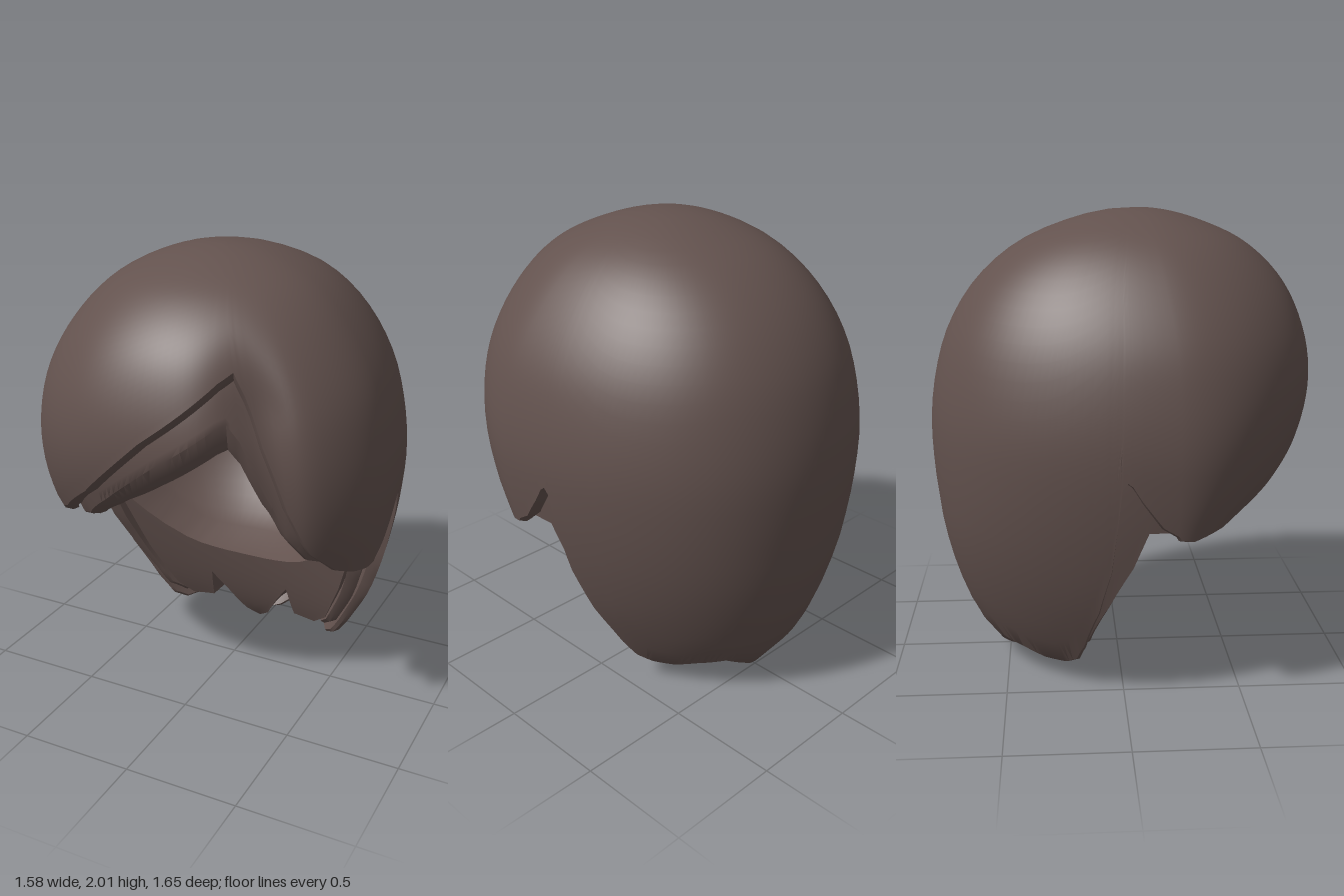
import * as THREE from 'three';
import { toCreasedNormals } from 'three/addons/utils/BufferGeometryUtils.js';

const { smoothstep } = THREE.MathUtils;

// Head-shaped profile: height, half width, front z, back z, z of the widest line
const PROFILE = [
  [2, 0, .08, .08, .08], [1.95, .275, .35, -.21, .1], [1.86, .445, .545, -.42, .13],
  [1.7, .6, .71, -.61, .16], [1.5, .715, .798, -.735, .19], [1.3, .77, .825, -.795, .2],
  [1.1, .79, .79, -.82, .2], [.9, .775, .7, -.815, .2], [.75, .75, .57, -.8, .2],
  [.6, .717, .46, -.78, .2], [.4, .658, .38, -.73, .2], [.2, .57, .32, -.65, .2],
  [.1, .52, .29, -.575, .2], [0, .43, .27, -.5, .2],
];
const depth = PROFILE.map(r => Math.sqrt(2 - r[0]));

// Smooth (Hermite) lookup of one profile column at height y
function profile(y, c) {
  const s = Math.sqrt(Math.max(0, 2 - y)), n = PROFILE.length;
  let i = 0;
  while (i < n - 2 && s > depth[i + 1]) i++;
  const slope = k => {
    const a = Math.max(0, k - 1), b = Math.min(n - 1, k + 1);
    return (PROFILE[b][c] - PROFILE[a][c]) / (depth[b] - depth[a]);
  };
  const h = depth[i + 1] - depth[i], t = Math.min(1, (s - depth[i]) / h), u = 1 - t;
  return PROFILE[i][c] * (1 + 2 * t) * u * u + PROFILE[i + 1][c] * t * t * (3 - 2 * t)
    + h * (slope(i) * t * u * u - slope(i + 1) * t * t * u);
}

// Point on the head at azimuth a (0 = front) and height y, shrunk by k
function point(a, y, k) {
  const zc = profile(y, 4), c = Math.cos(a), s = Math.sin(a);
  const bump = (centre, width) => Math.exp(-(((a - centre) / width) ** 2));
  let r = c > 0 ? profile(y, 2) - zc : zc - profile(y, 3);
  // flatter beside the parting, fuller in the fringe and at the back corners
  if (c > 0) r *= 1 + (.025 * bump(-.5, .35) - .17 * bump(.62, .2)) * smoothstep(2 - y, .15, .55);
  const full = c < 0 ? 1 + .1 * (s * c) ** 2 * smoothstep(y, .2, .8) : 1;
  return [k * full * profile(y, 1) * s, y > 1 ? 1 + (y - 1) * k : y, k * (zc + full * r * c)];
}

// Skin a list of equal-length columns of points
function skin(columns) {
  const rows = columns[0].length, index = [];
  for (let i = 0; i < columns.length - 1; i++) {
    for (let j = 0; j < rows - 1; j++) {
      const p = i * rows + j, q = p + rows;
      index.push(p, p + 1, q, q, p + 1, q + 1);
    }
  }
  const g = new THREE.BufferGeometry();
  g.setAttribute('position', new THREE.Float32BufferAttribute(columns.flat(2), 3));
  g.setIndex(index);
  return toCreasedNormals(g, 0.7);
}

// Subdivide a list of control points, stepping by their first value
function subdivide(list) {
  const out = [];
  for (let i = 0; i < list.length - 1; i++) {
    const p = list[i], q = list[i + 1];
    const n = Math.max(3, Math.ceil(Math.abs(q[0] - p[0]) / 0.05));
    for (let j = 0; j < n; j++) out.push(p.map((v, m) => v + (q[m] - v) * j / n));
  }
  out.push(list[list.length - 1]);
  return out;
}

// Hem all the way round: mirrored sides and back with a lopsided fringe between
const fullHem = (fringe, side) => [
  ...side.map(([a, y]) => [-a, y]).reverse(), ...fringe, ...side,
];

// Thick cap from the crown down to its hem: outside, rim, inside (lower at the fringe by drop)
function cap(hem, kOut, kIn, drop) {
  const N = 28;
  return skin(subdivide(hem).map(([a, y]) => {
    const col = [], d = drop * smoothstep(y, .75, 1.3);
    for (let j = 0; j <= N; j++) col.push(point(a, 2 - (2 - y) * (j / N) ** 1.6, kOut));
    col.push(point(a, y - d / 2 - .012, (kOut + kIn) / 2));
    for (let j = N; j >= 0; j--) col.push(point(a, 2 - (2 - y + d) * (j / N) ** 1.6, kIn));
    return col;
  }));
}

// Deep nape lock: round bowl for the head, ledge, front face with notched hem, underside
function nape() {
  // hem x, hem y, ledge x, ledge y, height where the underside meets the back
  const half = [[.6, .73, .6, .765, .73], [.5, .42, .56, .71, .42], [.4, .19, .48, .63, .19],
    [.33, .13, .4, .565, .12], [.22, .14, .3, .505, .13], [.2, .3, .23, .48, .16],
    [.13, .2, .16, .468, .15], [.06, .08, .1, .462, .14], [0, .035, 0, .46, .13]];
  const all = [...half.map(([x, y, tx, ty, b]) => [-x, y, -tx, ty, b]),
    ...half.slice(0, -1).reverse()];
  const onWall = (x, y, k) =>
    point(Math.PI - Math.asin(THREE.MathUtils.clamp(x / (k * profile(y, 1)), -1, 1)), y, k);
  const onFace = (x, y) => [x, y, -.36 + .36 * Math.sqrt(y) + .25 * x * x];
  const R = .67, CY = 1.1;
  return skin(subdivide(all).map(([x, y, tx, ty, b]) => {
    const col = [], rim = ty + .045;
    const ring = h => Math.sqrt(R * R - (h - CY) ** 2);
    const turn = Math.asin(THREE.MathUtils.clamp(tx / ring(rim), -1, 1));
    for (let j = 0; j <= 12; j++) {
      const h = 1.15 + (rim - 1.15) * j / 12;
      col.push([ring(h) * Math.sin(turn), h, -ring(h) * Math.cos(turn)]);
    }
    for (let j = 0; j <= 10; j++) {
      const t = j / 10;
      col.push(onFace(tx + (x - tx) * t, ty + (y - ty) * t));
    }
    col.push(onWall(x, b, .86));
    return col;
  }));
}

export function createModel() {
  const group = new THREE.Group();
  group.name = 'hair';
  const brown = new THREE.MeshStandardMaterial({ color: 0x63524e, side: THREE.DoubleSide });
  brown.name = 'dark brown hair';
  const add = (name, geometry) => {
    const mesh = new THREE.Mesh(geometry, brown);
    mesh.name = name;
    group.add(mesh);
  };

  // Outer hair with swept fringe, side notches and pointed nape
  add('outerHair', cap(fullHem(
    [[-1.08, .78], [-.71, .91], [-.39, 1.08], [0, 1.36], [.42, 1.6], [.506, 1.635], [.54, 1.55],
      [.6, 1.35], [.71, 1.08], [.86, .88], [1.05, .775], [1.22, .75]],
    [[1.4, .745], [1.54, .755], [1.63, .81], [1.71, .92], [1.75, .985], [1.77, 1], [1.79, .97],
      [1.81, .8], [1.84, .6], [1.91, .4], [2.02, .2], [2.1, .12], [2.2, .085], [2.35, .085],
      [2.5, .12], [2.7, .14], [2.92, .06], [3.05, .015], [Math.PI, 0]]), 1, .92, 0));

  // Inner layer framing the face
  add('innerHair', cap(fullHem(
    [[-1, .77], [-.71, .85], [-.39, 1.01], [0, 1.25], [.38, 1.45], [.44, 1.47], [.5, 1.39],
      [.6, 1.14], [.73, .93], [.9, .8]],
    [[1.3, .75], [1.55, .76], [1.67, .76], [1.74, .6], [1.87, .4], [2.02, .2], [2.17, .14],
      [2.4, .125], [2.65, .15], [3, .14], [Math.PI, .13]]), .9, .81, .1));

  add('napeLock', nape());
  return group;
}
